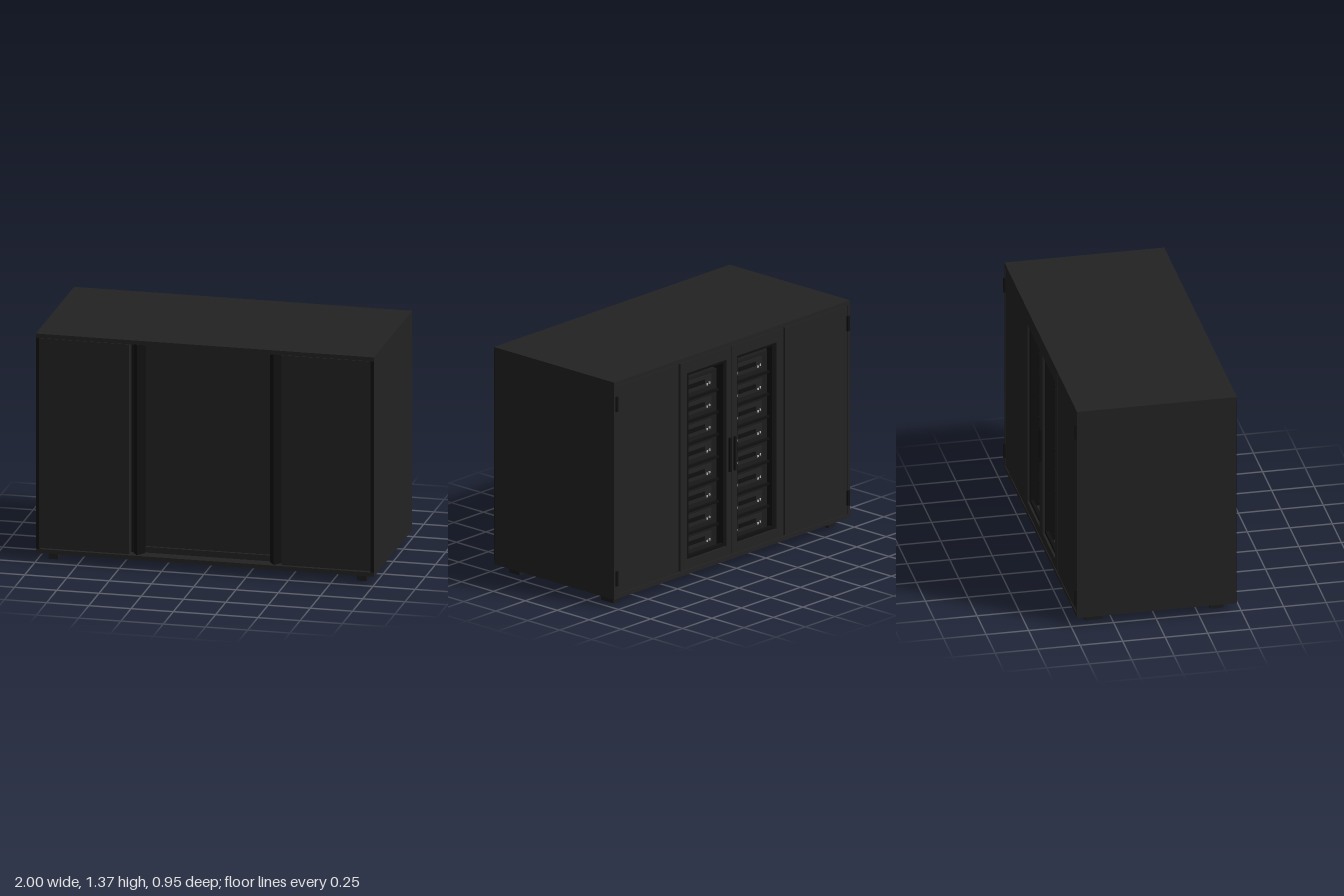
import * as THREE from 'three';

const mat = (name, color) => {
  const m = new THREE.MeshStandardMaterial({ color });
  m.name = name;
  return m;
};

export function createModel() {
  const cabinet = new THREE.Group();
  cabinet.name = 'cabinet';
  const shell = mat('charcoal', 0x232323);
  const trim = mat('black', 0x101010);
  const unitGrey = mat('unitGrey', 0x1c1c1c);
  const lamp = mat('lampGrey', 0xb4b4b4);

  const add = (name, geo, material, parent = cabinet) => {
    const mesh = new THREE.Mesh(geo, material);
    mesh.name = name;
    parent.add(mesh);
    return mesh;
  };
  // Box given by its extents on each axis
  const box = (name, x0, x1, y0, y1, z0, z1, material = shell, parent = cabinet) => {
    const g = new THREE.BoxGeometry(x1 - x0, y1 - y0, z1 - z0);
    g.translate((x0 + x1) / 2, (y0 + y1) / 2, (z0 + z1) / 2);
    return add(name, g, material, parent);
  };
  // Same box on both sides of x = 0
  const pair = (name, x0, x1, ...rest) => {
    box(name + 'Left', x0, x1, ...rest);
    box(name + 'Right', -x1, -x0, ...rest);
  };
  // Rectangular frame with a hole, extruded backwards from zBack
  const frame = (name, o, h, zBack, depth, material) => {
    const rect = (T, [x0, x1, y0, y1]) => {
      const p = new T();
      p.moveTo(x0, y0); p.lineTo(x1, y0); p.lineTo(x1, y1); p.lineTo(x0, y1); p.closePath();
      return p;
    };
    const s = rect(THREE.Shape, o);
    s.holes.push(rect(THREE.Path, h));
    const g = new THREE.ExtrudeGeometry(s, { depth, bevelEnabled: false });
    g.translate(0, 0, zBack);
    add(name, g, material);
  };

  // Carcass
  box('topBoard', -1, 1, 1.345, 1.37, -0.465, 0.475);
  box('bottomBoard', -1, 1, 0.05, 0.075, -0.465, 0.475);
  pair('sideBoard', 0.98, 1, 0.075, 1.345, -0.465, 0.47);
  pair('sideBoardEdge', 0.98, 1, 0.075, 1.345, 0.47, 0.474, trim);
  pair('sidePanelBlock', 0.45, 0.977, 0.079, 1.341, -0.463, 0.467);
  pair('panelGap', 0.44, 0.98, 0.075, 1.345, -0.45, 0.41, trim);

  // Recessed front panel and its plinth
  box('frontPanel', -0.44, 0.44, 0.075, 1.345, -0.33, 0.385);
  box('frontPlinth', -0.37, 0.37, 0.075, 0.11, 0.385, 0.40);

  // Ridged pillars beside the front recess
  for (const s of [1, -1]) {
    const p = new THREE.Shape();
    p.moveTo(s * 0.37, -0.38);
    p.lineTo(s * 0.44, -0.38);
    p.lineTo(s * 0.438, -0.415);
    p.lineTo(s * 0.405, -0.465);
    p.lineTo(s * 0.372, -0.415);
    p.closePath();
    const g = new THREE.ExtrudeGeometry(p, { depth: 1.27, bevelEnabled: false });
    g.rotateX(-Math.PI / 2);
    g.translate(0, 0.075, 0);
    // The shape's y runs along -z after turning, so face it forward
    const pos = g.attributes.position;
    for (let i = 0; i < pos.count; i++) pos.setZ(i, Math.abs(pos.getZ(i)));
    g.computeVertexNormals();
    add('frontPillar', g, new THREE.MeshStandardMaterial()).material = trimDouble();
  }
  function trimDouble() {
    trim.side = THREE.DoubleSide;
    return trim;
  }

  // Rear doors with window openings, and stepped window frames
  for (const s of [1, -1]) {
    const span = (a, b) => (s > 0 ? [a, b] : [-b, -a]);
    frame('rearDoor', [...span(0.003, 0.437), 0.079, 1.341], [...span(0.045, 0.38), 0.135, 1.27], -0.463, 0.03, shell);
    frame('windowFrame', [...span(0.04, 0.385), 0.13, 1.275], [...span(0.062, 0.355), 0.155, 1.25], -0.45, 0.02, trim);

    // Door handle
    box('doorHandle', ...span(0.013, 0.027), 0.585, 0.79, -0.475, -0.463, trim);

    // Hinges on the outer edges
    for (const y of [0.13, 1.19]) box('hinge', ...span(0.974, 0.99), y, y + 0.09, -0.475, -0.46, trim);

    // Stack of equipment units behind the window
    const stack = new THREE.Group();
    stack.name = 'unitStack';
    cabinet.add(stack);
    const [x0, x1] = span(0.035, 0.395);
    for (let i = 0; i < 8; i++) {
      const y = 0.125 + i * 0.136;
      box('unit', x0, x1, y, y + 0.12, -0.375, -0.32, unitGrey, stack);
      box('unitShelf', x0, x1, y - 0.012, y, -0.395, -0.32, trim, stack);
      box('unitFace', x0 + 0.05, x1 - 0.05, y + 0.03, y + 0.1, -0.383, -0.375, shell, stack);
      box('unitSlot', x0 + 0.11, x1 - 0.11, y + 0.055, y + 0.08, -0.388, -0.383, trim, stack);
      for (const [dx, dy] of [[0.065, 0.045], [0.085, 0.04], [0.26, 0.042]])
        box('lamp', x0 + dx, x0 + dx + 0.01, y + dy, y + dy + 0.012, -0.389, -0.383, lamp, stack);
    }
  }
  box('rearDivider', -0.025, 0.025, 0.075, 1.345, -0.43, -0.33, trim);

  // Feet
  pair('frontFoot', 0.885, 0.94, 0, 0.05, 0.33, 0.41, unitGrey);
  pair('rearFoot', 0.885, 0.94, 0, 0.05, -0.405, -0.305, unitGrey);

  return cabinet;
}
